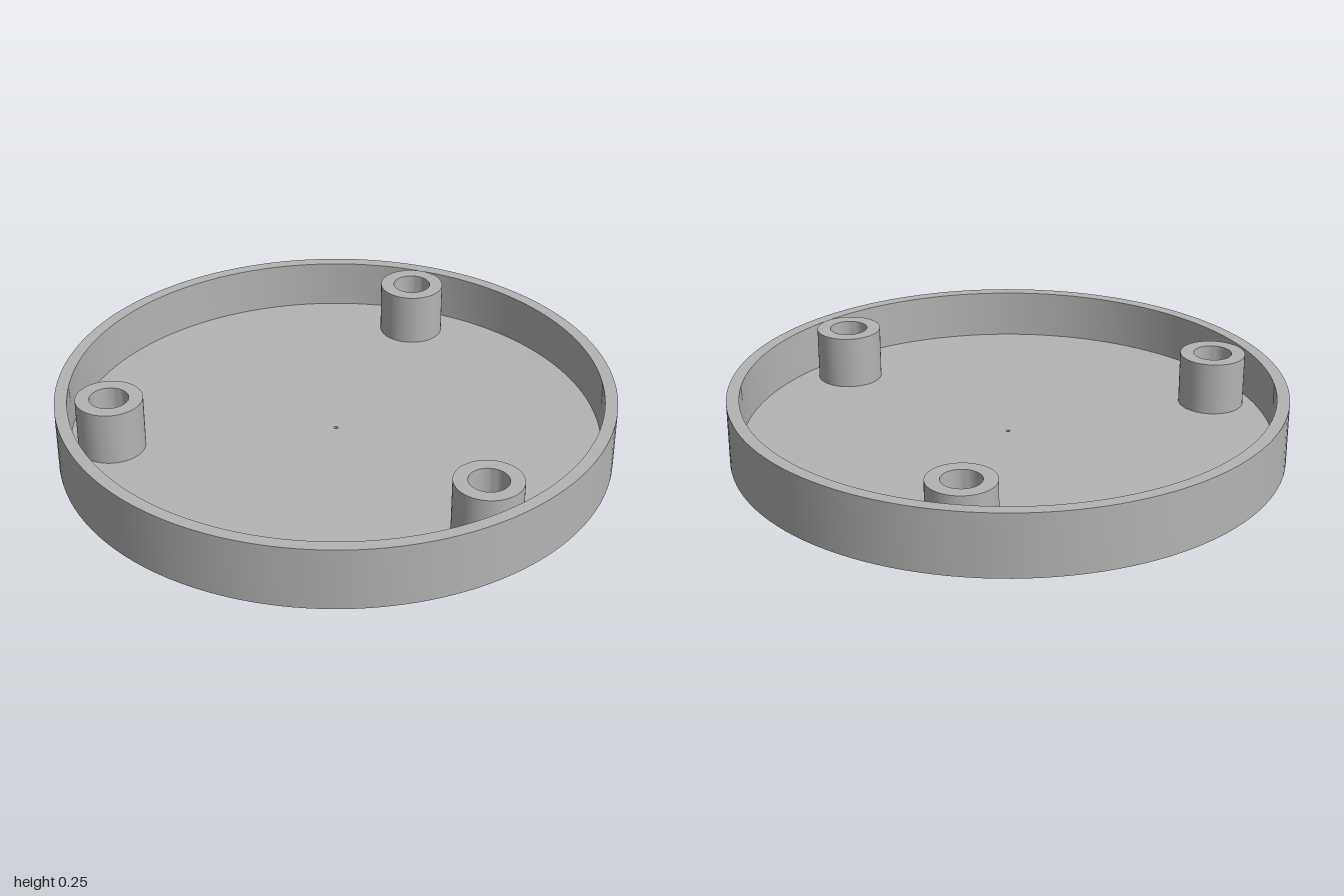
import * as THREE from 'three';
import { toCreasedNormals } from 'three/addons/utils/BufferGeometryUtils.js';

const FLOOR = 0.05;

// Revolve a [radius, height] profile, keeping its corners sharp
function revolve(name, profile, segments, material) {
  const points = profile.map(([r, y]) => new THREE.Vector2(r, y));
  const geometry = toCreasedNormals(new THREE.LatheGeometry(points, segments), 0.6);
  const mesh = new THREE.Mesh(geometry, material);
  mesh.name = name;
  return mesh;
}

export function createModel() {
  const model = new THREE.Group();
  model.name = 'roundCover';
  const grey = new THREE.MeshStandardMaterial({ color: 0xb4b4b4 });
  grey.name = 'grey';

  // Shallow round tray with a pinhole through the centre of its floor
  model.add(revolve('tray', [
    [0.008, 0], [1, 0], [1, 0.23], [0.955, 0.23],
    [0.955, FLOOR], [0.008, FLOOR], [0.008, 0],
  ], 128, grey));

  // Three hollow screw posts, evenly spaced and slightly taller than the rim
  for (let i = 0; i < 3; i++) {
    const angle = Math.PI + (i * 2 * Math.PI) / 3;
    const post = revolve('screwPost' + (i + 1), [
      [0.12, FLOOR], [0.12, 0.245], [0.07, 0.245], [0.07, FLOOR],
    ], 48, grey);
    post.position.set(0.807 * Math.sin(angle), 0, 0.807 * Math.cos(angle));
    model.add(post);
  }

  return model;
}
